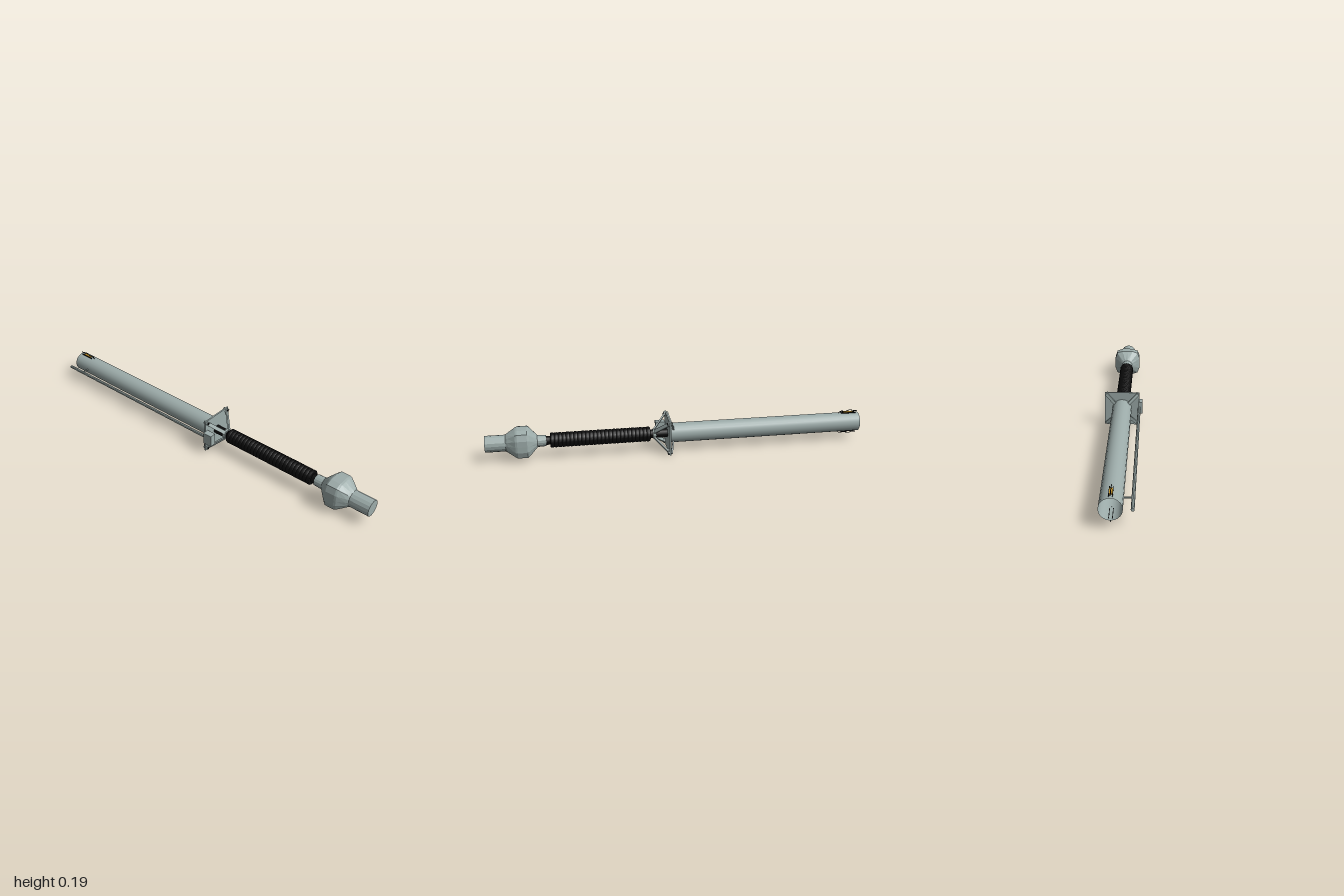
import * as THREE from 'three';

export function createModel() {
  const model = new THREE.Group();
  const body = new THREE.Group();
  body.name = 'body';
  body.position.set(0.008, 0.092, 0); // main axis
  model.add(body);

  const mat = (name, color, extra = {}) =>
    new THREE.MeshStandardMaterial({ name, color, ...extra });
  const metal = mat('grey metal', 0x9dacaa, { flatShading: true });
  const sheet = mat('grey sheet metal', 0x9dacaa, { side: THREE.DoubleSide });
  const black = mat('black rubber', 0x0b0b0b);
  const gold = mat('gold', 0xc8962a);

  const add = (name, geo, material, x = 0, y = 0, z = 0, parent = body) => {
    const m = new THREE.Mesh(geo, material);
    m.name = name;
    m.position.set(x, y, z);
    parent.add(m);
    return m;
  };
  // cylinder along z between two stations
  const rod = (name, r, z0, z1, material, sides = 16, x = 0, y = 0, open = false, parent = body) =>
    add(name, new THREE.CylinderGeometry(r, r, Math.abs(z1 - z0), sides, 1, open)
      .rotateX(Math.PI / 2), material, x, y, (z0 + z1) / 2, parent);
  // flat bar in the local x-z plane
  const bar = (name, x0, z0, x1, z1, width, thick, parent) => {
    const m = add(name, new THREE.BoxGeometry(Math.hypot(x1 - x0, z1 - z0), width, thick),
      metal, (x0 + x1) / 2, 0, (z0 + z1) / 2, parent);
    m.rotation.y = Math.atan2(z0 - z1, x1 - x0);
  };

  // pommel bulb: [z, half width, superellipse power]
  const rings = [
    [0.895, 0.044, 2], [0.885, 0.05, 2.4], [0.845, 0.073, 3.6], [0.835, 0.0755, 4],
    [0.785, 0.0755, 4], [0.775, 0.069, 3.6], [0.735, 0.031, 2], [0.69, 0.029, 2],
  ];
  const N = 16, pos = [], idx = [];
  rings.forEach(([z, r, p], i) => {
    for (let j = 0; j < N; j++) {
      const a = (j / N) * Math.PI * 2, c = Math.cos(a), s = Math.sin(a);
      const k = r / Math.pow(Math.abs(c) ** p + Math.abs(s) ** p, 1 / p);
      pos.push(c * k, s * k, z);
      if (i < rings.length - 1) {
        const A = i * N + j, B = i * N + (j + 1) % N;
        idx.push(A, A + N, B, B, A + N, B + N);
      }
    }
  });
  const bulb = new THREE.BufferGeometry();
  bulb.setAttribute('position', new THREE.Float32BufferAttribute(pos, 3));
  bulb.setIndex(idx);
  bulb.computeVertexNormals();
  add('pommelBulb', bulb, metal);
  rod('pommelEnd', 0.043, 0.87, 1, metal);
  rod('pommelNeckCap', 0.0285, 0.69, 0.7, metal);

  // ribbed grip over a thin core
  rod('gripCore', 0.023, 0.04, 0.71, black);
  const profile = [new THREE.Vector2(0, 0.15)];
  const ribs = 26, step = 0.52 / ribs;
  for (let i = 0; i < ribs; i++) {
    const y = 0.15 + i * step;
    profile.push(new THREE.Vector2(0.036, y), new THREE.Vector2(0.039, y + step * 0.2),
      new THREE.Vector2(0.039, y + step * 0.8), new THREE.Vector2(0.036, y + step));
  }
  profile.push(new THREE.Vector2(0, 0.67));
  add('grip', new THREE.LatheGeometry(profile, 20).rotateX(Math.PI / 2), black);

  // square guard plate with braces, bolts and rear ribs on its diagonals
  add('guardPlate', new THREE.BoxGeometry(0.184, 0.184, 0.008), metal, 0, 0, 0.054);
  rod('braceCollar', 0.027, 0.12, 0.135, metal);
  for (let i = 0; i < 4; i++) {
    const corner = new THREE.Group();
    corner.name = 'guardCorner';
    corner.rotation.z = Math.PI / 4 + i * Math.PI / 2;
    body.add(corner);
    bar('brace', 0.02, 0.13, 0.105, 0.064, 0.02, 0.008, corner);
    bar('braceFoot', 0.098, 0.061, 0.122, 0.061, 0.02, 0.008, corner);
    rod('bolt', 0.005, 0.06, 0.069, black, 8, 0.112, 0, false, corner);
    bar('rearRib', 0.05, 0.03, 0.12, 0.046, 0.016, 0.008, corner);
  }
  add('sideBox', new THREE.BoxGeometry(0.034, 0.065, 0.05), metal, -0.092, 0.001, 0.084);

  // long hollow tube, open at the rear
  rod('tube', 0.052, 0.052, -1, sheet, 20, 0, 0, true);

  // slim side rod with its stay
  rod('sideRod', 0.008, 0.06, -1, metal, 8, -0.092, 0);
  add('sideRodStay', new THREE.BoxGeometry(0.045, 0.006, 0.006), metal, -0.07, 0, -0.9);

  // sprung clips above and below the tube's open end
  for (const s of [1, -1]) {
    const curve = new THREE.CatmullRomCurve3([[0.052, -0.89], [0.063, -0.905], [0.06, -0.93],
      [0.067, -0.955], [0.061, -0.98], [0.061, -0.998]]
      .map(([y, z]) => new THREE.Vector3(0, s * y, z)));
    add('clipSpring', new THREE.TubeGeometry(curve, 20, 0.002, 5), black);
    add('clipPlate', new THREE.BoxGeometry(0.014, 0.004, 0.05), gold, 0, s * 0.055, -0.945);
    for (const x of [-0.008, 0.008])
      add('clipEdge', new THREE.BoxGeometry(0.003, 0.006, 0.08), black, x, s * 0.053, -0.945);
  }
  return model;
}
